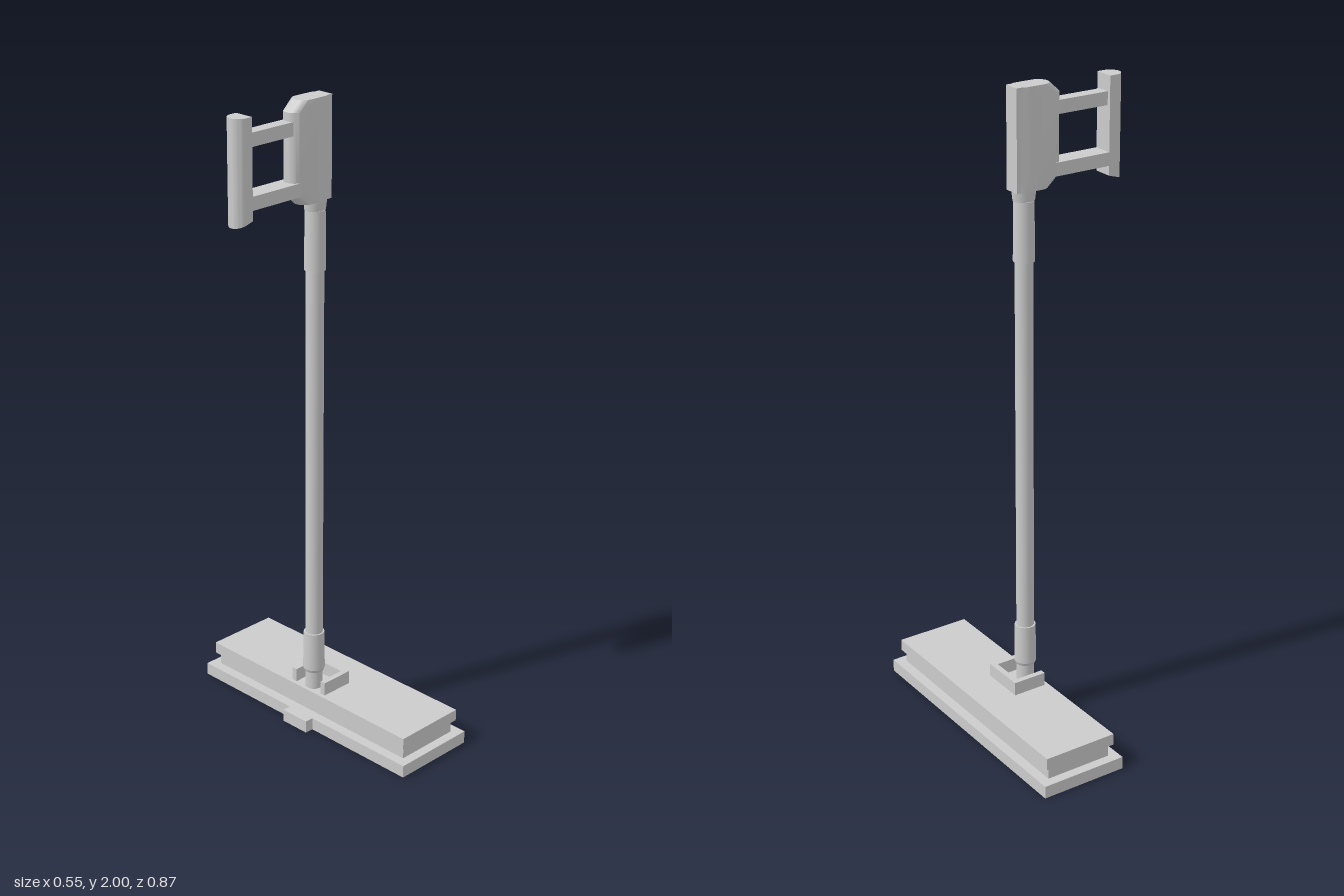
import * as THREE from 'three';
import { toCreasedNormals } from 'three/addons/utils/BufferGeometryUtils.js';

const material = new THREE.MeshStandardMaterial({ color: 0xcccccc });

function add(group, name, geometry, x = 0, y = 0, z = 0) {
  const mesh = new THREE.Mesh(geometry, material);
  mesh.name = name;
  mesh.position.set(x, y, z);
  group.add(mesh);
  return mesh;
}

// Box given by its limits
function block(group, name, x0, x1, y0, y1, z0, z1) {
  return add(group, name, new THREE.BoxGeometry(x1 - x0, y1 - y0, z1 - z0),
    (x0 + x1) / 2, (y0 + y1) / 2, (z0 + z1) / 2);
}

// Plan outline: a half round on the -x side, then the given corners mirrored in z
function plan(left, radius, corners) {
  const points = [];
  for (let i = 0; i <= 16; i++) {
    const a = Math.PI / 2 + (Math.PI * i) / 16;
    points.push([left + radius + radius * Math.cos(a), radius * Math.sin(a)]);
  }
  corners.forEach(([x, z]) => points.push([x, -z]));
  [...corners].reverse().forEach(([x, z]) => points.push([x, z]));
  return points;
}

// Skin stacked outlines, each { y(x), points }, bottom to top, with flat caps
function loft(levels) {
  const n = levels[0].points.length;
  const positions = [];
  const index = [];
  levels.forEach(({ y, points }) => points.forEach(([x, z]) => positions.push(x, y(x), z)));
  for (let k = 0; k < levels.length - 1; k++) {
    for (let i = 0; i < n; i++) {
      const a = k * n + i, b = k * n + ((i + 1) % n);
      index.push(a, a + n, b, b, a + n, b + n);
    }
  }
  const outline = levels[0].points.map(([x, z]) => new THREE.Vector2(x, z));
  const top = (levels.length - 1) * n;
  const flip = THREE.ShapeUtils.area(outline) > 0;
  THREE.ShapeUtils.triangulateShape(outline, []).forEach(([a, b, c]) => {
    if (flip) index.push(a, b, c, top + a, top + c, top + b);
    else index.push(a, c, b, top + a, top + b, top + c);
  });
  const geometry = new THREE.BufferGeometry();
  geometry.setAttribute('position', new THREE.Float32BufferAttribute(positions, 3));
  geometry.setIndex(index);
  // Outline runs counter-clockwise in (x, z), so side walls need the order above
  return toCreasedNormals(geometry, 0.5);
}

export function createModel() {
  const model = new THREE.Group();
  model.name = 'floorMop';

  // Stepped mop base
  block(model, 'basePlate', -0.007, 0.272, 0, 0.04, -0.435, 0.435);
  block(model, 'baseTab', -0.035, -0.007, 0, 0.04, -0.05, 0.05);
  block(model, 'middlePlate', 0.025, 0.24, 0.04, 0.08, -0.405, 0.405);
  block(model, 'topPlate', 0.013, 0.252, 0.08, 0.117, -0.415, 0.415);

  // U-shaped bracket, open towards -x
  const u = new THREE.Shape();
  [[0.026, -0.071], [0.135, -0.071], [0.135, 0.071], [0.026, 0.071],
    [0.026, 0.053], [0.117, 0.053], [0.117, -0.053], [0.026, -0.053]]
    .forEach(([x, z], i) => (i ? u.lineTo(x, z) : u.moveTo(x, z)));
  const bracket = new THREE.ExtrudeGeometry(u, { depth: 0.043, bevelEnabled: false });
  bracket.rotateX(-Math.PI / 2);
  add(model, 'bracket', bracket, 0, 0.117, 0);

  // Pole and sleeves: bottom, top, lower radius, upper radius
  const tubes = {
    pole: [0.117, 1.68, 0.027, 0.027],
    lowerSleeve: [0.185, 0.31, 0.034, 0.032],
    lowerSleeveRim: [0.175, 0.185, 0.03, 0.034],
    upperSleeve: [1.49, 1.67, 0.032, 0.03],
    neck: [1.67, 1.7, 0.028, 0.031],
  };
  for (const [name, [y0, y1, r0, r1]] of Object.entries(tubes)) {
    add(model, name, new THREE.CylinderGeometry(r1, r0, y1 - y0, 32), 0.05, (y0 + y1) / 2, 0);
  }
  model.getObjectByName('neck').scale.x = 1.2;

  // Head with sloped ends on its rounded side
  const nose = [[0.045, 0.031], [0.06, 0.031], [0.075, 0.026], [0.09, 0.026]];
  const head = [[1.7, -0.025], [1.735, -0.063], [1.97, -0.063], [2.0, -0.03]];
  add(model, 'head', loft(head.map(([y, left]) => ({
    y: () => y, points: plan(left, 0.031, nose),
  }))));

  // Handle: two bars and a D-section grip with a slanted foot
  block(model, 'upperBar', -0.23, -0.045, 1.905, 1.945, -0.02, 0.02);
  block(model, 'lowerBar', -0.23, -0.035, 1.73, 1.77, -0.031, 0.031);
  const gripPlan = plan(-0.275, 0.031, [[-0.222, 0.031]]);
  add(model, 'grip', loft([
    { y: (x) => 1.685 + (x + 0.275) * 0.3, points: gripPlan },
    { y: () => 1.992, points: gripPlan },
  ]));

  return model;
}
